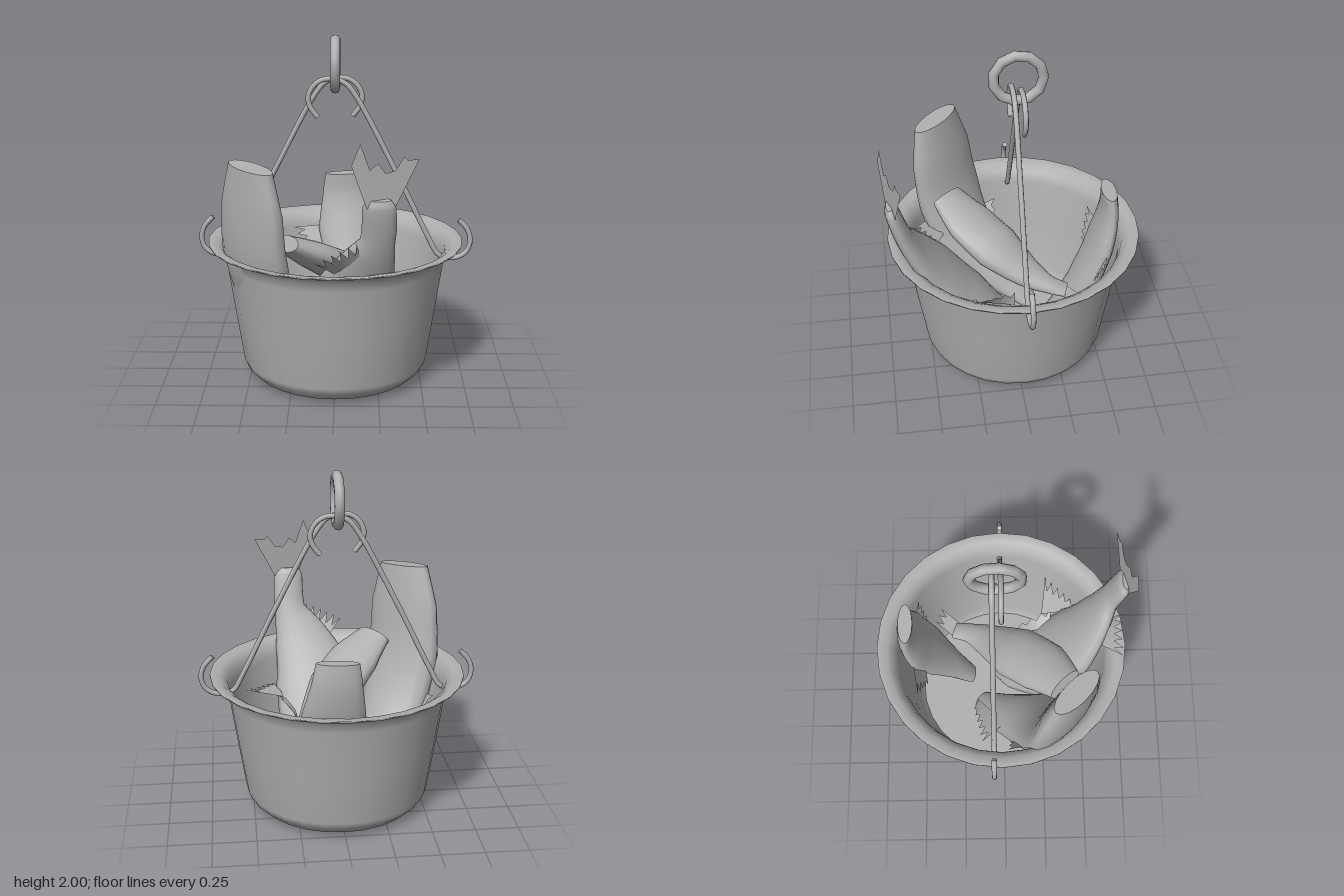
import * as THREE from 'three';

const V = (x, y, z) => new THREE.Vector3(x, y, z);

export function createModel() {
  const root = new THREE.Group();
  const grey = new THREE.MeshStandardMaterial({ color: 0xb0b0b0, side: THREE.DoubleSide });
  grey.name = 'plainGrey';

  const add = (name, geometry, parent = root) => {
    const mesh = new THREE.Mesh(geometry, grey);
    mesh.name = name;
    parent.add(mesh);
    return mesh;
  };

  // Indexed geometry with smooth normals
  const surface = (points, index) => {
    const g = new THREE.BufferGeometry().setFromPoints(points);
    g.setIndex(index);
    g.computeVertexNormals();
    return g;
  };

  // Oval body swept through stations [x, y, z, half width, half thickness]
  const body = (stations, wide) => {
    const path = new THREE.CatmullRomCurve3(stations.map(s => V(s[0], s[1], s[2])));
    const rows = (stations.length - 1) * 3, sides = 16;
    const pts = [], index = [];
    for (let i = 0; i <= rows; i++) {
      const t = i / rows, f = t * (stations.length - 1);
      const k = Math.min(Math.floor(f), stations.length - 2), u = f - k;
      const [a, b] = [3, 4].map(n => THREE.MathUtils.lerp(stations[k][n], stations[k + 1][n], u));
      const c = path.getPoint(t), T = path.getTangent(t);
      const W = wide.clone().addScaledVector(T, -wide.dot(T)).normalize();
      const N = T.clone().cross(W);
      for (let j = 0; j < sides; j++) {
        const q = j / sides * Math.PI * 2;
        pts.push(c.clone().addScaledVector(W, a * Math.cos(q)).addScaledVector(N, b * Math.sin(q)));
        if (i < rows) {
          const p = i * sides + j, r = i * sides + (j + 1) % sides;
          index.push(p, r, p + sides, r, r + sides, p + sides);
        }
      }
    }
    // Flat end caps on their own vertices keep the cut edge sharp
    for (const row of [0, rows]) {
      const start = pts.length;
      pts.push(path.getPoint(row / rows));
      for (let j = 0; j < sides; j++) pts.push(pts[row * sides + j].clone());
      for (let j = 0; j < sides; j++) {
        const p = start + 1 + j, r = start + 1 + (j + 1) % sides;
        index.push(start, row ? p : r, row ? r : p);
      }
    }
    return surface(pts, index);
  };

  // Thin fin with a ragged outer edge: base edge p0-p1, outer edge q0-q1
  const fin = (p0, p1, q0, q1, teeth = 5) => {
    const pts = [], index = [], n = teeth * 2;
    for (let i = 0; i <= n; i++) {
      const base = p0.clone().lerp(p1, i / n), tip = q0.clone().lerp(q1, i / n);
      pts.push(base, base.clone().lerp(tip, i % 2 ? 0.66 : 1));
      if (i < n) index.push(i * 2, i * 2 + 2, i * 2 + 1, i * 2 + 1, i * 2 + 2, i * 2 + 3);
    }
    return surface(pts, index);
  };

  // Bucket: outer wall, flared rim and inner wall in one profile
  const bucket = new THREE.Group();
  bucket.name = 'bucket';
  bucket.position.z = -0.015;
  root.add(bucket);
  const profile = [
    [0.42, 0], [0.48, 0.025], [0.525, 0.07], [0.542, 0.11], [0.59, 0.42], [0.632, 0.71],
    [0.648, 0.765], [0.68, 0.8], [0.735, 0.815], [0.735, 0.825], [0.68, 0.817],
    [0.637, 0.785], [0.62, 0.72], [0.578, 0.42], [0.53, 0.12], [0.5, 0.075]
  ].map(p => new THREE.Vector2(...p));
  add('bucketWall', new THREE.LatheGeometry(profile, 28), bucket);
  add('bucketBase', new THREE.CircleGeometry(0.42, 28).rotateX(Math.PI / 2), bucket);
  const floor = add('bucketFloor', new THREE.CircleGeometry(0.5, 28).rotateX(-Math.PI / 2), bucket);
  floor.position.y = 0.075;

  // Two hooked rods, mirrored, that cross under the ring
  const curl = [[-0.1, 1.535], [-0.14, 1.59], [-0.152, 1.65], [-0.125, 1.71], [-0.07, 1.748],
    [0, 1.75], [0.06, 1.725], [0.12, 1.65]];
  const hook = [[0.35, 1.215], [0.54, 0.83], [0.6, 0.725], [0.65, 0.705], [0.71, 0.708], [0.765, 0.745],
    [0.785, 0.81], [0.765, 0.88], [0.715, 0.935]];
  for (const [side, z, name] of [[1, -0.015, 'leftRod'], [-1, -0.063, 'rightRod']]) {
    const path = new THREE.CatmullRomCurve3([...curl, ...hook].map(([x, y]) => V(x * side, y, z)));
    add(name, new THREE.TubeGeometry(path, 90, 0.015, 8));
    for (const t of [0, 1]) {
      const end = add('rodEnd', new THREE.CircleGeometry(0.015, 8));
      end.position.copy(path.getPoint(t));
      end.lookAt(end.position.clone().addScaledVector(path.getTangent(t), t ? 1 : -1));
    }
  }

  // Hanging ring
  const ring = add('hangingRing', new THREE.TorusGeometry(0.137, 0.029, 10, 11).rotateY(Math.PI / 2));
  ring.position.set(0, 1.833, -0.043);

  // Fish bodies, listed from the upper end down
  const fishes = {
    tallCutFish: [V(1, 0, 1), [
      [-0.45, 1.337, 0.385, 0.168, 0.065], [-0.45, 1.1, 0.36, 0.235, 0.085],
      [-0.44, 0.8, 0.32, 0.25, 0.1], [-0.37, 0.5, 0.22, 0.22, 0.11],
      [-0.25, 0.27, 0.02, 0.14, 0.08], [-0.12, 0.13, -0.14, 0.06, 0.035]]],
    frontFish: [V(1, 0, 0), [
      [0.235, 1.242, 0.695, 0.06, 0.02], [0.235, 1.2, 0.685, 0.088, 0.04],
      [0.23, 1.0, 0.625, 0.093, 0.05], [0.165, 0.83, 0.55, 0.17, 0.065],
      [0.09, 0.6, 0.42, 0.25, 0.1], [0.08, 0.37, 0.25, 0.25, 0.12],
      [0.12, 0.2, 0.06, 0.18, 0.08], [0.15, 0.13, -0.05, 0.09, 0.04]]],
    middleFish: [V(0.8, 0, 0.6), [
      [-0.27, 0.9, 0.35, 0.11, 0.05], [-0.13, 0.8, 0.23, 0.165, 0.08],
      [0, 0.69, 0.08, 0.17, 0.095], [0.12, 0.58, -0.08, 0.11, 0.06],
      [0.19, 0.53, -0.2, 0.065, 0.04], [0.22, 0.5, -0.3, 0.055, 0.02]]],
    backFish: [V(1, 0, 0), [
      [0.05, 1.08, -0.565, 0.118, 0.042], [0.055, 0.95, -0.57, 0.14, 0.05],
      [0.07, 0.75, -0.53, 0.18, 0.065], [0.09, 0.5, -0.44, 0.16, 0.075],
      [0.07, 0.27, -0.3, 0.09, 0.055], [0.05, 0.14, -0.2, 0.06, 0.03]]]
  };
  for (const [name, [wide, stations]] of Object.entries(fishes)) add(name, body(stations, wide));

  // Forked tail standing above the front fish
  const tail = new THREE.Shape([
    [0.17, 1.2], [0.09, 1.43], [0.135, 1.54], [0.185, 1.4], [0.225, 1.435], [0.265, 1.38],
    [0.315, 1.39], [0.36, 1.46], [0.38, 1.44], [0.44, 1.445], [0.32, 1.2]
  ].map(p => new THREE.Vector2(...p)));
  const tailGeometry = new THREE.ShapeGeometry(tail);
  const tp = tailGeometry.attributes.position;
  for (let i = 0; i < tp.count; i++) tp.setZ(i, 0.765 - 0.3 * tp.getX(i));
  tailGeometry.computeVertexNormals();
  add('frontFishTail', tailGeometry);

  // Ragged fins
  add('frontFishLowerFin', fin(V(0.16, 0.8, 0.58), V(0.03, 0.78, 0.55), V(0.12, 1.01, 0.69), V(-0.1, 0.9, 0.7), 5));
  add('frontFishSideFin', fin(V(0.3, 0.56, 0.24), V(0.32, 0.56, 0.42), V(0.53, 0.6, 0.27), V(0.36, 0.56, 0.46), 5));
  add('frontFishInnerFin', fin(V(0.2, 0.4, 0), V(0.24, 0.5, 0.3), V(0.2, 0.5, 0), V(0.34, 0.55, 0.3), 5));
  add('tallFishFin', fin(V(-0.32, 0.7, 0.46), V(-0.22, 0.65, 0.38), V(-0.18, 0.74, 0.56), V(-0.1, 0.66, 0.44), 4));
  add('tallFishBackFin', fin(V(-0.56, 0.6, 0.1), V(-0.5, 0.5, 0.08), V(-0.58, 0.62, 0.02), V(-0.5, 0.5, 0.03), 2));
  add('tallFishTail', fin(V(-0.14, 0.2, -0.16), V(-0.36, 0.4, 0), V(-0.22, 0.25, -0.19), V(-0.46, 0.35, -0.14), 5));
  add('middleFishTail', fin(V(0.17, 0.5, -0.3), V(0.26, 0.5, -0.26), V(0.29, 0.47, -0.42), V(0.38, 0.47, -0.39), 2));
  for (const side of [-1, 1])
    add('backFishFin', fin(V(0.06 + side * 0.14, 0.75, -0.54), V(0.07 + side * 0.15, 0.6, -0.47),
      V(0.03 + side * 0.3, 0.74, -0.51), V(0.05 + side * 0.21, 0.58, -0.46), 4));

  return root;
}
